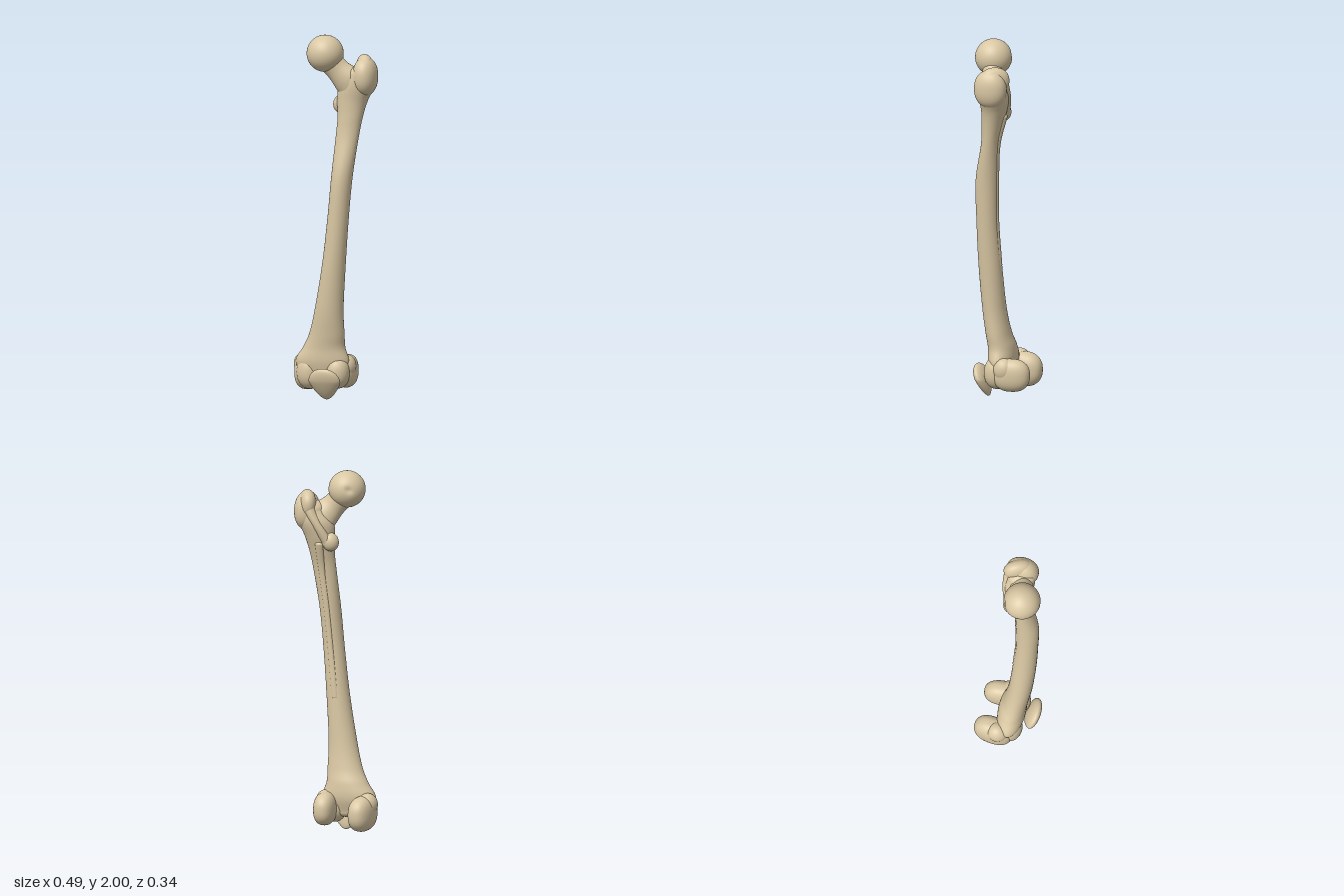
import * as THREE from 'three';
import { mergeVertices } from 'three/addons/utils/BufferGeometryUtils.js';

const bone = new THREE.MeshStandardMaterial({ color: 0xd9c7a3 });
bone.name = 'bone';
const V3 = (x, y, z) => new THREE.Vector3(x, y, z);

// Smooth loft through rows [x, y, z, radiusU, radiusV], with rounded ends.
// All rings share one plane: u and v = axis x u.
function loft(rows, axis, u, capStart = 0.6, capEnd = 0.6, steps = 72, sides = 40) {
  axis = axis.clone().normalize();
  const v = axis.clone().cross(u).normalize();
  const centres = new THREE.CatmullRomCurve3(rows.map(r => V3(r[0], r[1], r[2])), false, 'catmullrom');
  const radii = new THREE.CatmullRomCurve3(rows.map(r => V3(r[3], r[4], 0)), false, 'catmullrom');
  const rings = [];
  const addCap = (t, sign, height) => {
    const list = [];
    for (let k = 1; k <= 10; k++) {
      const a = (k / 10) * Math.PI / 2, r = radii.getPoint(t);
      const c = centres.getPoint(t).addScaledVector(axis, sign * height * Math.min(r.x, r.y) * Math.sin(a));
      list.push([c, r.multiplyScalar(Math.max(Math.cos(a), 0.001))]);
    }
    return list;
  };
  rings.push(...addCap(0, -1, capStart).reverse());
  for (let i = 0; i <= steps; i++) rings.push([centres.getPoint(i / steps), radii.getPoint(i / steps)]);
  rings.push(...addCap(1, 1, capEnd));

  const pos = [], idx = [];
  rings.forEach(([c, r], i) => {
    for (let j = 0; j < sides; j++) {
      const a = (j / sides) * Math.PI * 2;
      const p = c.clone().addScaledVector(u, r.x * Math.cos(a)).addScaledVector(v, r.y * Math.sin(a));
      pos.push(p.x, p.y, p.z);
      if (i === rings.length - 1) continue;
      const k = (j + 1) % sides, lo = i * sides, hi = lo + sides;
      idx.push(lo + j, lo + k, hi + k, lo + j, hi + k, hi + j);
    }
  });
  const g = new THREE.BufferGeometry();
  g.setAttribute('position', new THREE.Float32BufferAttribute(pos, 3));
  g.setIndex(idx);
  g.computeVertexNormals();
  return g;
}

// Unit ball reshaped by a rule, welded so its normals stay smooth.
function ball(rule) {
  const g = new THREE.SphereGeometry(1, 48, 32);
  g.deleteAttribute('uv');
  g.deleteAttribute('normal');
  const welded = mergeVertices(g, 1e-4), p = welded.attributes.position, v = V3(0, 0, 0);
  for (let i = 0; i < p.count; i++) {
    rule(v.fromBufferAttribute(p, i));
    p.setXYZ(i, v.x, v.y, v.z);
  }
  welded.computeVertexNormals();
  return welded;
}

// Ellipsoid; power above 2 makes it fuller.
const blob = (rx, ry, rz, power = 2) => ball(v => {
  const n = Math.pow(Math.abs(v.x) ** power + Math.abs(v.y) ** power + Math.abs(v.z) ** power, 1 / power);
  v.divideScalar(n);
  v.set(v.x * rx, v.y * ry, v.z * rz);
});

export function createModel() {
  const model = new THREE.Group();
  model.name = 'thighBoneWithKneecap';
  const X = V3(1, 0, 0), Y = V3(0, 1, 0), Z = V3(0, 0, 1);
  const add = (name, geometry, x = 0, y = 0, z = 0, yaw = 0, roll = 0) => {
    const m = new THREE.Mesh(geometry, bone);
    m.name = name;
    m.position.set(x, y, z);
    m.rotation.set(0, yaw, roll);
    model.add(m);
  };

  // Shaft, flaring towards both ends and bowed forward
  add('shaft', loft([
    [-0.065, 0.12, 0.02, 0.12, 0.055],
    [-0.068, 0.20, 0.018, 0.152, 0.075],
    [-0.055, 0.28, 0.022, 0.118, 0.074],
    [-0.035, 0.36, 0.037, 0.098, 0.068],
    [-0.016, 0.50, 0.055, 0.079, 0.065],
    [0.016, 0.75, 0.069, 0.064, 0.064],
    [0.042, 1.00, 0.077, 0.058, 0.060],
    [0.063, 1.23, 0.073, 0.058, 0.062],
    [0.084, 1.44, 0.047, 0.064, 0.050],
    [0.096, 1.55, 0.032, 0.070, 0.057],
    [0.105, 1.64, 0.019, 0.085, 0.070],
    [0.127, 1.72, 0.014, 0.100, 0.082],
    [0.155, 1.79, 0.017, 0.082, 0.080],
  ], Y, X, 0.6, 0.6, 120));

  // Low ridge down the back of the shaft
  add('backRidge', loft([
    [0.09, 1.60, -0.036, 0.022, 0.015],
    [0.085, 1.44, 0.002, 0.018, 0.012],
    [0.063, 1.23, 0.016, 0.016, 0.011],
    [0.042, 1.00, 0.022, 0.016, 0.011],
    [0.016, 0.75, 0.012, 0.018, 0.010],
  ].reverse(), Y, X, 1, 1));

  // Round head with a small pit
  const pit = V3(-0.4, 0.1, -0.85).normalize();
  add('head', ball(v => {
    const d = v.distanceTo(pit);
    v.multiplyScalar(0.101 * (1 - 0.12 * Math.exp(-d * d / 0.03)));
  }), -0.036, 1.899, 0.066);

  // Neck joining head and shaft
  add('neck', loft([
    [-0.03, 1.88, 0.062, 0.070, 0.072],
    [0.03, 1.812, 0.05, 0.056, 0.066],
    [0.09, 1.75, 0.03, 0.068, 0.085],
    [0.13, 1.69, 0.015, 0.07, 0.085],
  ], V3(0.66, -0.75, 0), Z));

  // Upper outer knob, its hooked crest and the ridge to the lower knob
  add('greaterTrochanter', blob(0.066, 0.105, 0.09, 2.2), 0.178, 1.775, 0.018);
  add('trochanterCrest', blob(0.046, 0.075, 0.082, 2.2), 0.168, 1.818, -0.002, 0.45);
  add('trochanterRidge', loft([
    [0.045, 1.61, -0.025, 0.030, 0.026],
    [0.09, 1.70, -0.042, 0.030, 0.030],
    [0.135, 1.78, -0.042, 0.032, 0.034],
    [0.15, 1.84, -0.035, 0.028, 0.030],
  ], Y, X, 1, 1));
  add('lesserTrochanter', blob(0.046, 0.052, 0.042), 0.032, 1.615, -0.012, 0, -0.25);

  // Knee end: two rear knuckles, the front pulley lips and the side bumps
  add('innerCondyle', blob(0.066, 0.096, 0.108, 2.4), -0.172, 0.128, -0.062, -0.12);
  add('outerCondyle', blob(0.06, 0.09, 0.102, 2.4), 0.044, 0.142, -0.06, 0.08);
  add('innerFrontLip', blob(0.072, 0.095, 0.075, 2.2), -0.138, 0.14, 0.015, -0.4);
  add('outerFrontLip', blob(0.068, 0.09, 0.078, 2.2), 0.02, 0.145, 0.022, 0.3);
  add('innerEpicondyle', blob(0.055, 0.062, 0.06), -0.192, 0.175, -0.035);
  add('outerEpicondyle', blob(0.05, 0.065, 0.058), 0.06, 0.172, -0.02);

  // Kneecap: a leaning disc narrowing to a point below
  add('kneecap', ball(v => {
    const low = Math.max(0, -v.y);
    v.set(v.x * 0.09 * (1 - 0.4 * low), v.y * 0.088, v.z * 0.036 * (1 - 0.25 * low));
    v.y += 0.012 * (1 - Math.abs(v.y) / 0.088);
    v.z += v.y * 0.36;
  }), -0.02, 0.09, 0.12);

  return model;
}
